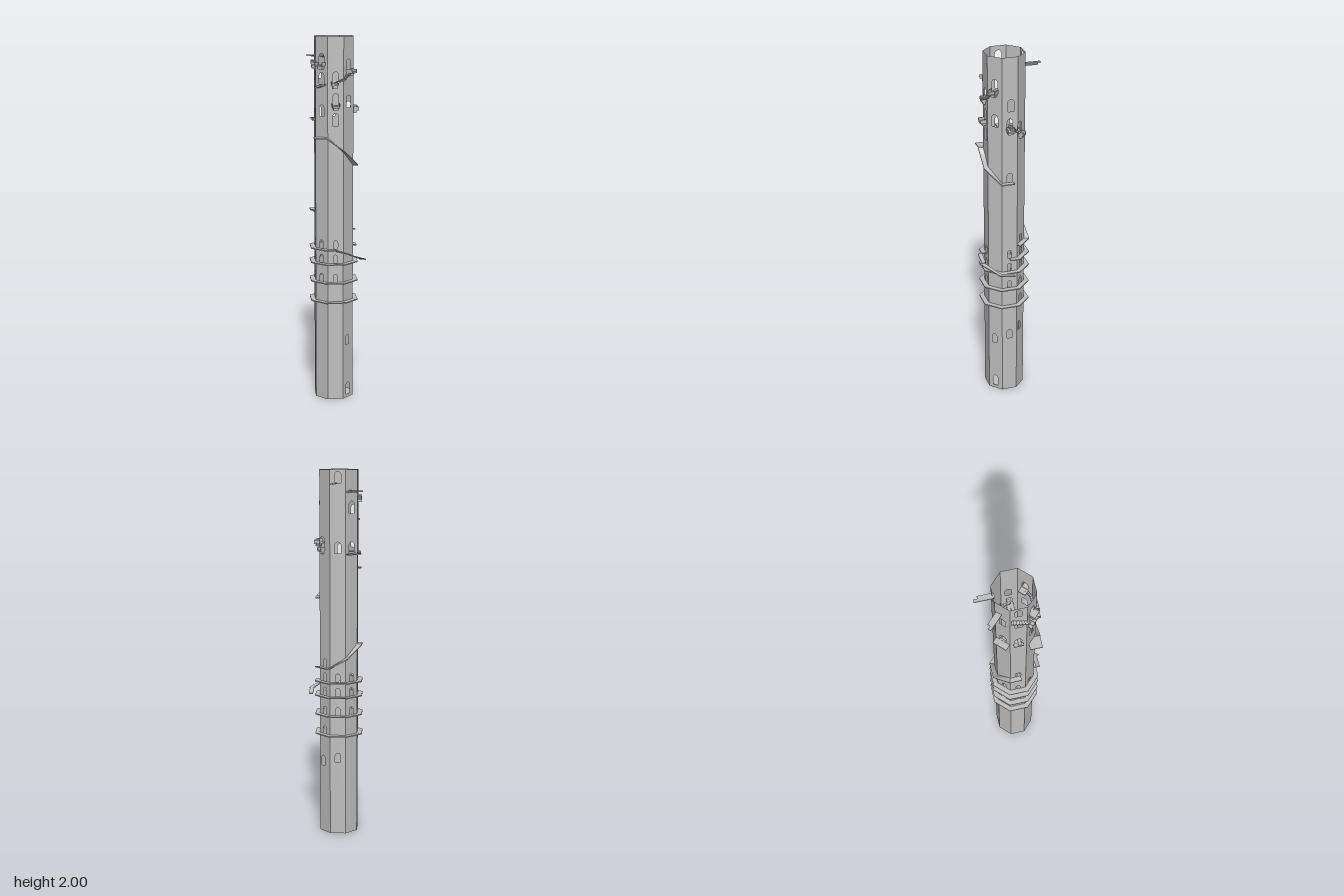
import * as THREE from 'three';

const stone = new THREE.MeshStandardMaterial({ color: 0xbfbfbf, side: THREE.DoubleSide, flatShading: true });
stone.name = 'pale stone';

const A = 0.102;                       // wall distance from the tower axis
const T = Math.tan(Math.PI / 8);
const H = 2;
// Faces in order around the tower, 45 degrees apart
const [F, FR, R, BR, B, BL, L, FL] = [0, 1, 2, 3, 4, 5, 6, 7];

// Arched openings per face: [centre x, sill y, width, height]
const small = (y) => [0, y, 0.024, 0.045];
const tiers = [0.672, 0.78, 0.86].map(small);
const openings = {
  [F]: [[0, 0.02, 0.03, 0.065], [-0.006, 0.31, 0.028, 0.055], [0, 1.625, 0.034, 0.065], [0, 1.82, 0.034, 0.06]],
  [FR]: [...tiers, [0, 0.345, 0.03, 0.055], [0, 1.315, 0.03, 0.05], [0.005, 1.71, 0.034, 0.065], [0, 1.61, 0.03, 0.06]],
  [R]: [...tiers, small(0.562), small(0.937), [-0.015, 0.38, 0.028, 0.055], [-0.02, 1.58, 0.036, 0.065]],
  [BR]: [...tiers, [0, 0.41, 0.03, 0.05], [0, 1.56, 0.034, 0.06], [0, 1.93, 0.034, 0.06]],
  [B]: [...tiers, [0, 1.56, 0.034, 0.06], [0, 1.77, 0.036, 0.065]],
  [BL]: [...tiers, [0, 1.065, 0.03, 0.05], [0, 1.56, 0.034, 0.055], [0, 1.77, 0.034, 0.06], [0, 1.91, 0.036, 0.065]],
  [L]: [...tiers, [0, 1.58, 0.032, 0.06], [0, 1.75, 0.032, 0.06], [0, 1.85, 0.032, 0.06]],
  [FL]: [...tiers, [0, 1.53, 0.032, 0.065], [0, 1.64, 0.032, 0.06], [0, 1.755, 0.032, 0.06]],
};

// Wall panel with arched holes
function wallPanel(list) {
  const w = A * T;
  const shape = new THREE.Shape([[-w, 0], [w, 0], [w, H], [-w, H]].map((p) => new THREE.Vector2(...p)));
  for (const [x, y, width, height] of list) {
    const r = width / 2, hole = new THREE.Path();
    hole.moveTo(x - r, y);
    hole.lineTo(x + r, y);
    hole.lineTo(x + r, y + height - r);
    hole.absarc(x, y + height - r, r, 0, Math.PI, false);
    hole.closePath();
    shape.holes.push(hole);
  }
  return new THREE.ShapeGeometry(shape, 4).translate(0, 0, A);
}

// Walkway piece along a face, ends mitred at s = -1 and s = 1, sloping from y0 to y1
function walkway(s0, s1, y0, y1 = y0, d0 = A - 0.002, d1 = 0.128, thick = 0.006) {
  const g = new THREE.BoxGeometry(1, thick, 1), p = g.attributes.position;
  for (let i = 0; i < p.count; i++) {
    const t = p.getX(i) + 0.5, d = d0 + (p.getZ(i) + 0.5) * (d1 - d0);
    p.setXYZ(i, (s0 + t * (s1 - s0)) * d * T, p.getY(i) + y0 + t * (y1 - y0), d);
  }
  g.computeVertexNormals();
  return g;
}

// Box given by local ranges: across the face, up, and outward
const block = (x0, x1, y0, y1, z0, z1) =>
  new THREE.BoxGeometry(x1 - x0, y1 - y0, z1 - z0).translate((x0 + x1) / 2, (y0 + y1) / 2, (z0 + z1) / 2);

export function createModel() {
  const tower = new THREE.Group();
  tower.name = 'tower';
  tower.position.set(0.01, 0, 0.012);

  const faces = [];
  for (let i = 0; i < 8; i++) {
    const g = new THREE.Group();
    g.name = 'towerSide' + i;
    g.rotation.y = i * Math.PI / 4;
    faces.push(g);
    tower.add(g);
  }
  const add = (face, name, geometry) => {
    const m = new THREE.Mesh(geometry, stone);
    m.name = name;
    faces[face].add(m);
  };

  // Shaft and floor
  for (let i = 0; i < 8; i++) add(i, 'wall', wallPanel(openings[i]));
  const floor = new THREE.Mesh(
    new THREE.CylinderGeometry(A / Math.cos(Math.PI / 8), A / Math.cos(Math.PI / 8), 0.004, 8)
      .rotateY(Math.PI / 8).translate(0, 0.002, 0), stone);
  floor.name = 'floor';
  tower.add(floor);

  // Ring galleries; the highest one is open where the stair meets it
  for (const y of [0.56, 0.67, 0.775])
    for (let i = 0; i < 8; i++) add(i, 'ringGallery', walkway(-1, 1, y));
  for (const i of [R, BR, B, BL, L]) add(i, 'ringGallery', walkway(-1, 1, 0.855));
  add(FR, 'ringGallery', walkway(0, 1, 0.855));
  add(FL, 'ringGallery', walkway(-1, 0, 0.855));

  // Outer ramp joining two galleries
  add(FL, 'outerRamp', walkway(0, 1.3, 0.855, 0.835, 0.127, 0.15));
  add(F, 'outerRamp', walkway(-0.85, 1, 0.835, 0.79, 0.148, 0.171));
  add(FR, 'outerRamp', walkway(-1, 0.2, 0.79, 0.775, 0.144, 0.167));

  // Ramp climbing round the back
  add(R, 'backRamp', walkway(-1, 1, 0.935));
  add(BR, 'backRamp', walkway(-1, 1, 0.935, 0.99));
  add(B, 'backRamp', walkway(-1, 1, 0.99, 1.06));
  add(BL, 'backRamp', walkway(-1, 0.3, 1.06));

  // Ramp climbing across the front, ending in a jutting landing
  add(FR, 'frontRamp', walkway(-1, 0.4, 1.31));
  add(F, 'frontRamp', walkway(-1, 1, 1.39, 1.31));
  add(FL, 'frontRamp', walkway(-1, 1, 1.465, 1.39));
  add(FL, 'rampLanding', block(-0.116, -0.05, 1.462, 1.468, 0.06, 0.125));

  // Stepped flights near the top
  const flight = (face, s0, s1, y0, y1, n) => {
    for (let k = 0; k < n; k++) {
      const at = (a, b, t) => a + (b - a) * t;
      add(face, 'step', walkway(at(s0, s1, k / n), at(s0, s1, (k + 1) / n), at(y0, y1, (k + 0.5) / n),
        undefined, A - 0.012, 0.122, 0.009));
    }
  };
  flight(FL, -0.4, 1, 1.75, 1.775, 5);
  flight(F, -1, -0.1, 1.775, 1.815, 5);
  flight(BL, -0.8, 0.9, 1.87, 1.83, 6);
  flight(FR, -0.2, 1, 1.63, 1.595, 6);
  flight(L, -0.7, 0.7, 1.73, 1.75, 4);

  // Small balconies: floor, stepped bracket and side rails
  const balcony = (face, x, y, w = 0.04, out = 0.032) => {
    const z = A + out;
    add(face, 'balconyFloor', block(x - w / 2, x + w / 2, y - 0.008, y, A - 0.03, z));
    add(face, 'balconyBracket', block(x - w / 3, x + w / 3, y - 0.022, y - 0.008, A, z - out * 0.4));
    for (const side of [-1, 1]) {
      const e = x + side * w / 2;
      add(face, 'balconyRail', block(e - 0.002, e + 0.002, y, y + 0.014, A, z));
    }
  };
  balcony(F, 0, 1.815, 0.04, 0.04);
  balcony(FL, 0, 1.635);
  balcony(FL, -0.005, 1.75, 0.036, 0.022);
  balcony(FR, 0, 1.61);
  balcony(R, -0.015, 1.575, 0.03, 0.026);
  balcony(L, 0, 1.85, 0.05, 0.028);
  add(B, 'backPlatform', block(-0.04, 0.04, 1.552, 1.558, A - 0.01, 0.136));
  add(BL, 'backLedge', block(-0.025, 0.025, 1.552, 1.558, A - 0.02, 0.118));

  // Loose planks pushed through the openings
  const planks = [
    [B, -0.012, 1.89, 0.07, 0.197], [B, -0.028, 1.885, 0.07, 0.177],
    [BR, -0.0127, 1.93, 0.09, 0.192], [BR, -0.028, 1.926, 0.09, 0.172],
    [FR, -0.01, 1.606, 0.045, 0.12], [FR, 0.008, 1.61, 0.03, 0.12],
    [BL, 0.006, 1.562, 0.05, 0.115],
  ];
  for (const [face, x, y, z0, z1] of planks)
    add(face, 'plank', block(x - 0.008, x + 0.008, y - 0.003, y + 0.003, z0, z1));

  const model = new THREE.Group();
  model.name = 'model';
  model.add(tower);
  return model;
}
